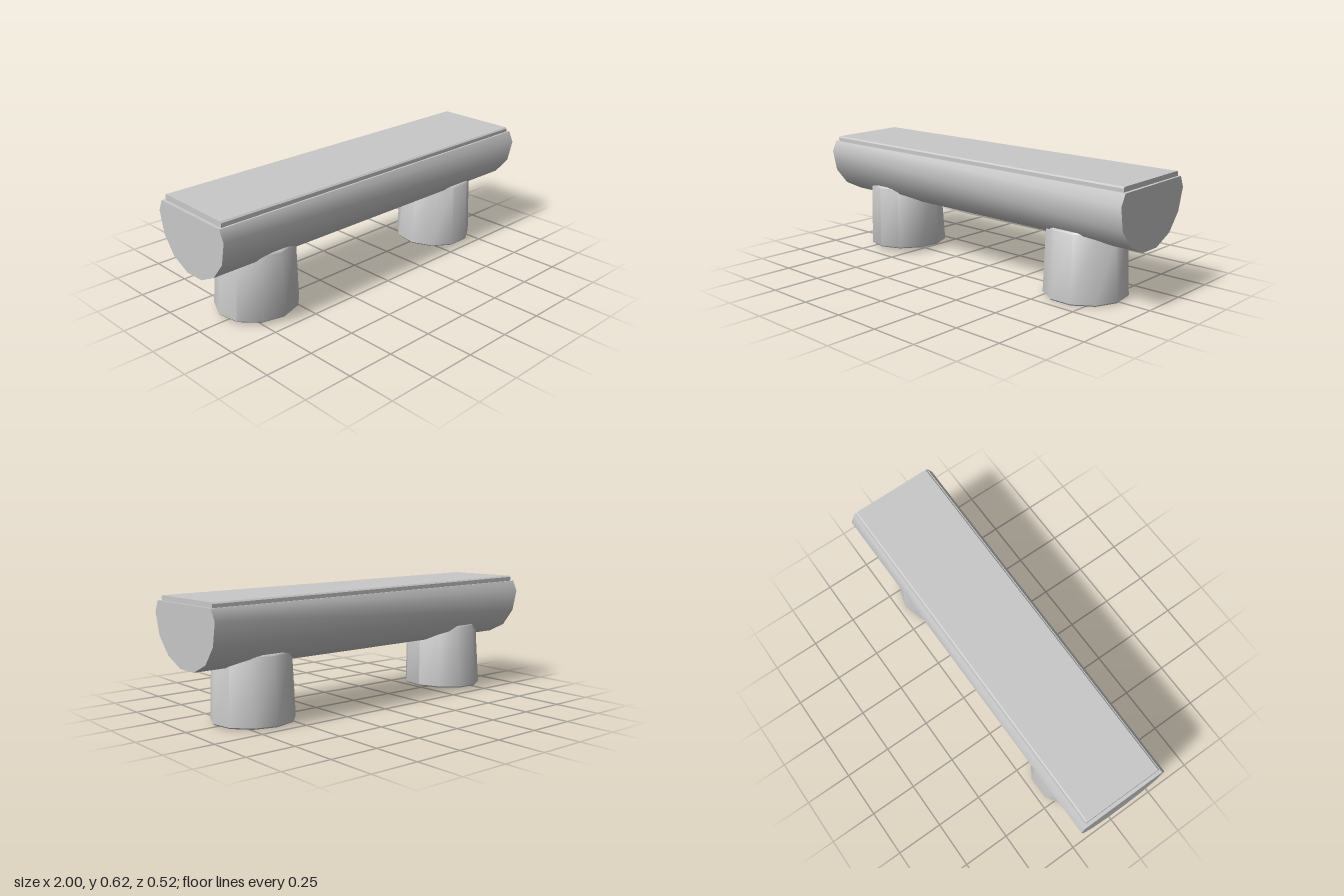
import * as THREE from 'three';
import { toCreasedNormals } from 'three/addons/utils/BufferGeometryUtils.js';

const stone = new THREE.MeshStandardMaterial({ color: 0xc8c8c8 });
stone.name = 'greyStone';

// Skin a list of rings (counter-clockwise seen from the last ring's end) and cap both ends
function loft(name, rings) {
  const n = rings[0].length;
  const index = [];
  for (let r = 0; r < rings.length - 1; r++) {
    for (let i = 0; i < n; i++) {
      const j = (i + 1) % n;
      const a = r * n + i, b = r * n + j, c = b + n, d = a + n;
      index.push(a, b, c, a, c, d);
    }
  }
  const last = (rings.length - 1) * n;
  for (let i = 1; i < n - 1; i++) {
    index.push(0, i + 1, i, last, last + i, last + i + 1);
  }
  const geometry = new THREE.BufferGeometry();
  geometry.setAttribute('position', new THREE.Float32BufferAttribute(rings.flat(2), 3));
  geometry.setIndex(index);
  const mesh = new THREE.Mesh(toCreasedNormals(geometry, 0.72), stone);
  mesh.name = name;
  return mesh;
}

// Tapered round leg with uneven foot; tilt gives the foot's slope along x and z
function leg(name, { bottom, top, turn, tilt }) {
  const sides = 11;
  const ring = ([x, y, z, radius], slope, inset = 0) =>
    Array.from({ length: sides }, (_, i) => {
      const angle = turn + (i / sides) * Math.PI * 2;
      const dx = Math.sin(angle) * (radius - inset), dz = Math.cos(angle) * (radius - inset);
      return [x + dx, y + dx * slope[0] + dz * slope[1], z + dz];
    });
  const [x, y, z, r] = bottom;
  const [tx, ty, tz, tr] = top;
  return loft(name, [
    ring(bottom, tilt, 0.006),
    ring([x, y + 0.007, z, r], tilt),
    ring([tx, ty - 0.007, tz, tr], [0, 0]),
    ring([tx, ty, tz, tr], [0, 0], 0.006),
  ]);
}

export function createModel() {
  const group = new THREE.Group();
  group.name = 'bench';

  // Half log with a flattened top, profile as [z, y]
  const profile = [
    [0.058, 0.286], [-0.058, 0.286], [-0.163, 0.335], [-0.232, 0.424], [-0.258, 0.537],
    [-0.231, 0.593], [0.232, 0.588], [0.259, 0.532], [0.235, 0.42], [0.163, 0.335],
  ];
  group.add(loft('logBody', [
    profile.map(([z, y]) => [-1, y, z * 0.96 - 0.008]),
    profile.map(([z, y]) => [0.985 + z * 0.02 + (y - 0.286) * 0.03, y, z]),
  ]));

  // Thin seat slab with softened long edges
  const slabRing = (x, skew, front, back, yFront, yBack) => {
    const c = 0.007;
    return [
      [front, 0.58], [back, 0.58], [back, yBack - c], [back + c, yBack],
      [front - c, yFront], [front, yFront - c],
    ].map(([z, y]) => [x + z * skew, y, z]);
  };
  group.add(loft('seatSlab', [
    slabRing(-0.983, 0, 0.206, -0.222, 0.615, 0.622),
    slabRing(0.98, 0.01, 0.222, -0.223, 0.612, 0.617),
  ]));

  // Two stubby legs
  group.add(leg('leftLeg', {
    bottom: [0.635, 0.003, -0.003, 0.209], top: [0.635, 0.348, 0, 0.195],
    turn: Math.PI / 11, tilt: [0, -0.012],
  }));
  group.add(leg('rightLeg', {
    bottom: [-0.648, 0.02, -0.014, 0.211], top: [-0.648, 0.366, -0.003, 0.196],
    turn: 0, tilt: [0.03, 0],
  }));

  return group;
}
